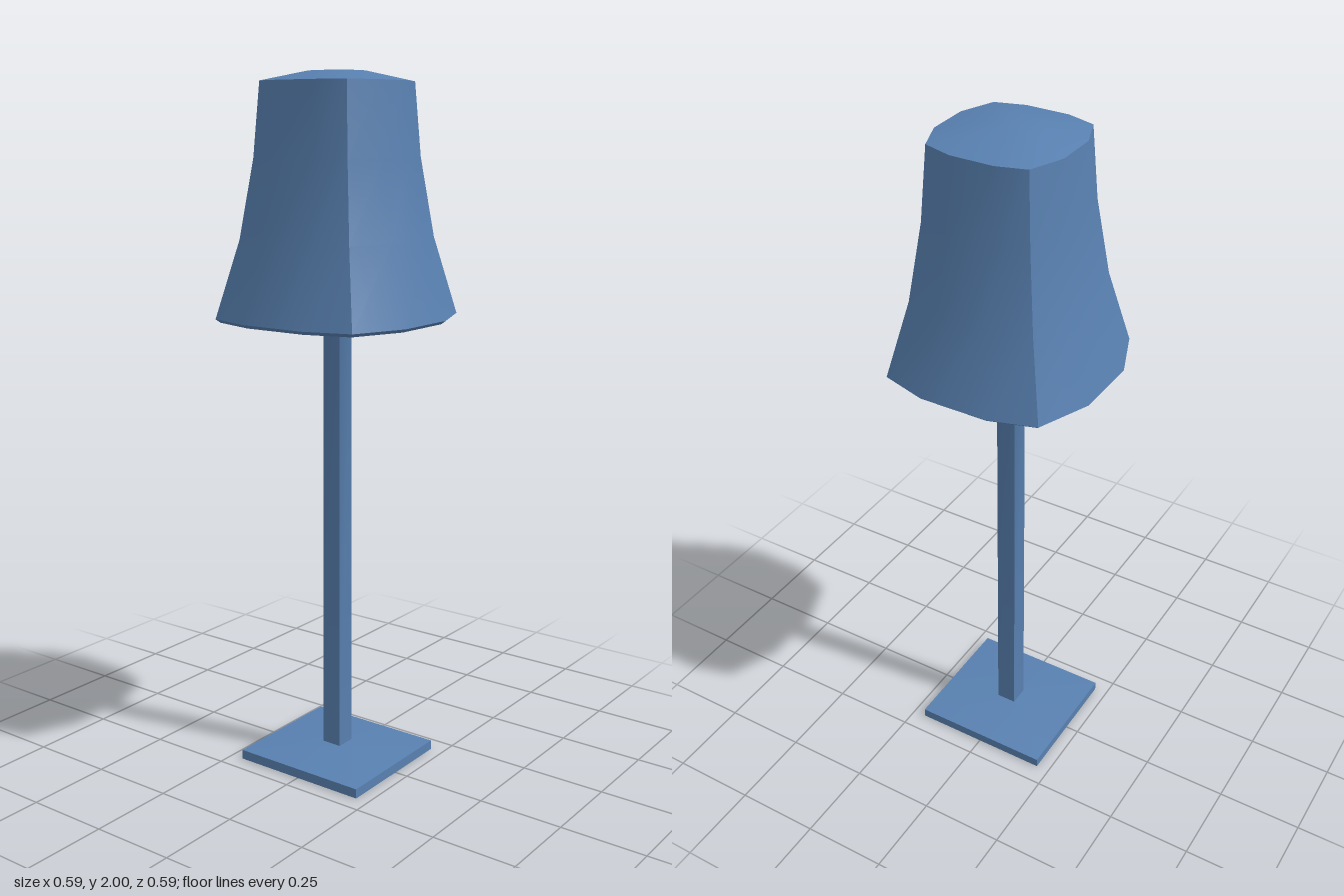
import * as THREE from 'three';
import { toCreasedNormals } from 'three/addons/utils/BufferGeometryUtils.js';

const material = new THREE.MeshStandardMaterial({ color: 0x5880b0 });

// Stacks scaled copies of an outline; each level is [scaleX, y, scaleZ = scaleX].
// A scale of 0 closes the shape at a point.
function loft(name, outline, levels) {
  const n = outline.length;
  const positions = [];
  const point = ([sx, y, sz = sx], j) => [outline[j % n][0] * sx, y, outline[j % n][1] * sz];
  for (let i = 0; i < levels.length - 1; i++) {
    const low = levels[i], high = levels[i + 1];
    for (let j = 0; j < n; j++) {
      const a = point(low, j), b = point(low, j + 1);
      const c = point(high, j), d = point(high, j + 1);
      if (low[0] > 0) positions.push(...a, ...c, ...b);
      if (high[0] > 0) positions.push(...b, ...c, ...d);
    }
  }
  const geometry = new THREE.BufferGeometry();
  geometry.setAttribute('position', new THREE.Float32BufferAttribute(positions, 3));
  const mesh = new THREE.Mesh(toCreasedNormals(geometry, 0.6), material);
  mesh.name = name;
  return mesh;
}

export function createModel() {
  const lamp = new THREE.Group();
  lamp.name = 'floorLamp';

  const square = [[1, -1], [1, 1], [-1, 1], [-1, -1]];

  // Four bowed sides meeting at sharp corners, half width 1
  const bowedSquare = [];
  for (let k = 0; k < 4; k++) {
    const c = Math.round(Math.cos(k * Math.PI / 2));
    const s = Math.round(Math.sin(k * Math.PI / 2));
    const corner = k % 2 ? [0.79, -0.863] : [0.863, -0.79];
    for (const [x, z] of [corner, [1, -0.336], [1, 0.336]]) {
      bowedSquare.push([x * c - z * s, x * s + z * c]);
    }
  }

  // Square foot with a low pyramid top
  const base = loft('base', square, [
    [0, 0], [0.195, 0, 0.21], [0.195, 0.028, 0.21], [0.03, 0.045], [0, 0.045],
  ]);
  base.position.x = -0.003;

  // Slim square post, flared where it meets the shade
  const post = loft('post', square, [
    [0, 0.03], [0.03, 0.03], [0.028, 1.38], [0.05, 1.425], [0, 1.425],
  ]);
  post.position.x = -0.002;

  // Shade: recessed underside, rim, flared walls and shallow domed cap
  const shade = loft('shade', bowedSquare, [
    [0, 1.41], [0.235, 1.41], [0.245, 1.325], [0.283, 1.322], [0.295, 1.332],
    [0.235, 1.55], [0.2, 1.77], [0.184, 1.973], [0.07, 2], [0, 2],
  ]);

  lamp.add(base, post, shade);
  return lamp;
}
